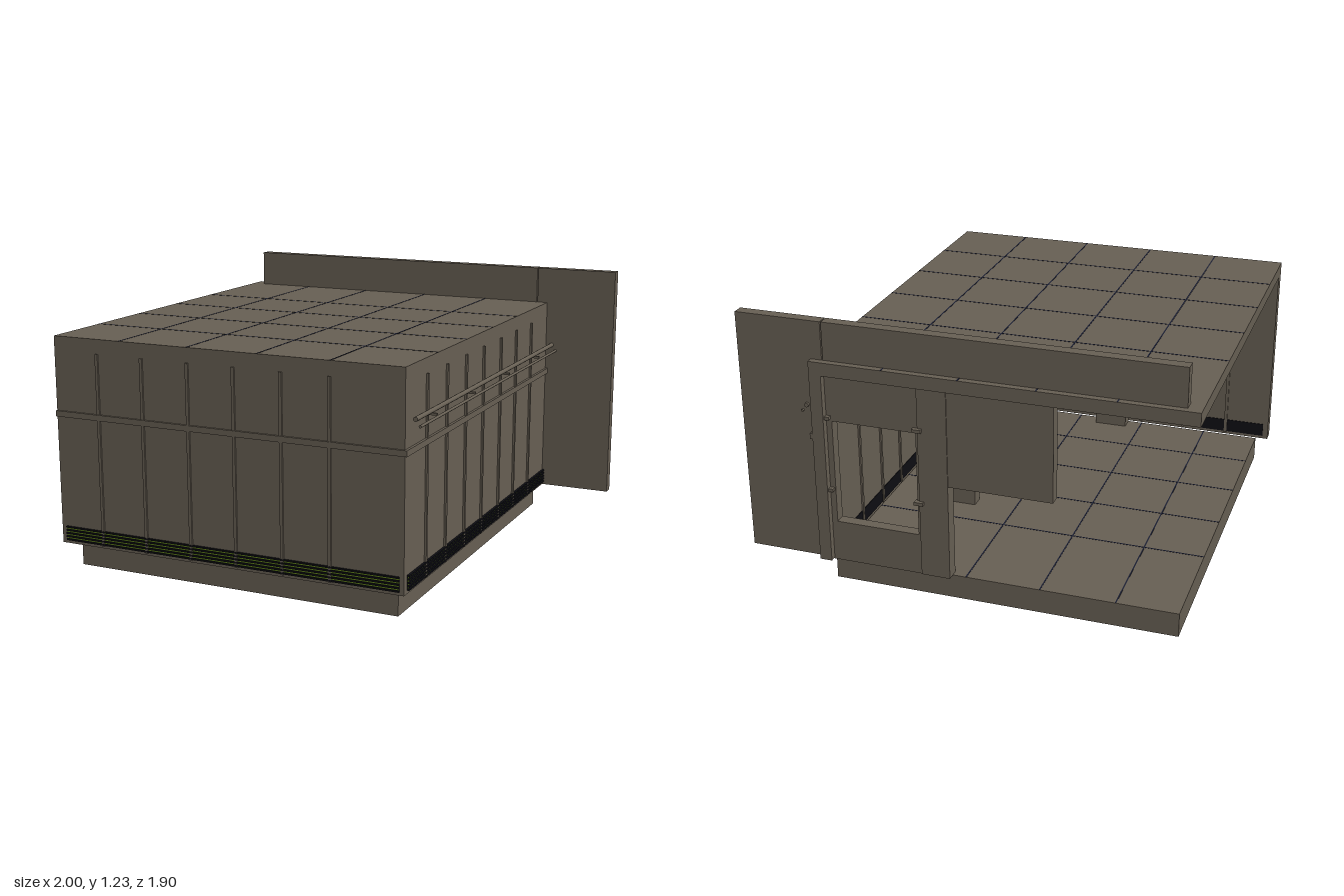
import * as THREE from 'three';

const mat = (name, color) => {
  const m = new THREE.MeshStandardMaterial({ color });
  m.name = name;
  return m;
};

export function createModel() {
  const model = new THREE.Group();
  model.name = 'room';
  const taupe = mat('taupe', 0x686054);
  const black = mat('black', 0x0e0e13);
  const navy = mat('navy', 0x1c2033);
  const green = mat('green', 0x6b8e1f);

  // Box given by its limits on each axis
  const box = (name, x0, x1, y0, y1, z0, z1, m = taupe) => {
    const mesh = new THREE.Mesh(new THREE.BoxGeometry(x1 - x0, y1 - y0, z1 - z0), m);
    mesh.position.set((x0 + x1) / 2, (y0 + y1) / 2, (z0 + z1) / 2);
    mesh.name = name;
    model.add(mesh);
    return mesh;
  };

  // Slabs, with thin joint lines between the tiles
  box('floorSlab', -0.94, 0.61, 0, 0.11, -0.89, 0.88);
  box('roofSlab', -1, 0.66, 0.995, 1.055, -0.95, 0.94);
  const joints = (name, y, x0, x1, z0, z1) => {
    for (const x of [-0.667, -0.333, 0, 0.333]) box(name, x - 0.003, x + 0.003, y, y + 0.002, z0, z1, navy);
    for (const z of [-0.4, -0.067, 0.267, 0.6]) box(name, x0, x1, y, y + 0.002, z - 0.003, z + 0.003, navy);
  };
  joints('roofJoint', 1.054, -1, 0.66, -0.95, 0.94);
  joints('floorJoint', 0.109, -0.94, 0.61, -0.89, 0.88);

  // Front and side walls
  box('frontWall', -1, 0.66, 0.115, 0.995, 0.88, 0.94);
  box('sideWall', 0.605, 0.66, 0.115, 0.995, -0.95, 0.88);

  // Battens show on both faces of each wall
  for (const x of [-0.78, -0.555, -0.33, -0.11, 0.11, 0.33])
    box('frontBatten', x - 0.007, x + 0.007, 0.125, 0.99, 0.872, 0.947);
  for (const z of [0.72, 0.5, 0.275, 0.055, -0.175, -0.39, -0.615])
    box('sideBatten', 0.597, 0.669, 0.125, 0.99, z - 0.007, z + 0.007);

  // Belt rails
  box('frontRail', -1, 0.672, 0.697, 0.723, 0.93, 0.95);
  box('sideRail', 0.65, 0.672, 0.697, 0.723, -0.95, 0.93);

  // Ventilation strips with slats
  box('frontVent', -0.975, 0.64, 0.13, 0.195, 0.877, 0.943, black);
  box('sideVent', 0.602, 0.664, 0.13, 0.195, -0.91, 0.91, black);
  for (let i = 0; i < 5; i++) {
    const y = 0.13 + i * 0.0145;
    box('frontSlat', -0.975, 0.64, y, y + 0.007, 0.94, 0.949, black);
    box('sideSlat', 0.66, 0.671, y, y + 0.007, -0.91, 0.91, black);
    if (i > 0) {
      box('frontSlatGap', -0.975, 0.64, y - 0.006, y - 0.001, 0.942, 0.944, green);
      box('sideSlatGap', 0.663, 0.665, y - 0.006, y - 0.001, -0.91, 0.91, green);
    }
  }

  // Pipes along the side wall, held by small brackets
  for (const [x, y, r] of [[0.69, 0.843, 0.01], [0.71, 0.815, 0.006]]) {
    const pipe = new THREE.Mesh(new THREE.CylinderGeometry(r, r, 1.84, 12), taupe);
    pipe.rotation.x = Math.PI / 2;
    pipe.position.set(x, y, -0.01);
    pipe.name = 'pipe';
    model.add(pipe);
  }
  for (const z of [0.72, 0.275, -0.175, -0.615])
    box('pipeBracket', 0.66, 0.708, 0.82, 0.83, z - 0.005, z + 0.005);

  // Rear parapet and the tall wing panel beside it
  box('parapet', -0.94, 0.605, 1.055, 1.225, -0.92, -0.87);
  box('wingPanel', 0.61, 1, 0.117, 1.225, -0.92, -0.87);

  // Rear wall with a window opening
  const wall = new THREE.Shape([[0.19, 0.11], [0.607, 0.11], [0.607, 0.996], [0.19, 0.996]]
    .map(p => new THREE.Vector2(...p)));
  wall.holes.push(new THREE.Path([[0.2, 0.3], [0.2, 0.78], [0.58, 0.78], [0.58, 0.3]]
    .map(p => new THREE.Vector2(...p))));
  const rear = new THREE.Mesh(new THREE.ExtrudeGeometry(wall, { depth: 0.05, bevelEnabled: false }), taupe);
  rear.position.z = -0.92;
  rear.name = 'rearWindowWall';
  model.add(rear);
  box('rearColumn', 0.06, 0.19, 0.11, 0.996, -0.925, -0.86);
  box('rearUpperPanel', -0.4, 0.06, 0.55, 0.996, -0.92, -0.865);
  for (const x of [0.17, 0.585])
    for (const y of [0.45, 0.79])
      box('windowHinge', x, x + 0.04, y, y + 0.015, -0.94, -0.91);

  // Inner column and partition
  box('innerColumn', -0.26, -0.1, 0.11, 0.996, 0.81, 0.88);
  box('innerPartition', 0.19, 0.48, 0.11, 0.996, -0.26, -0.2);

  return model;
}
